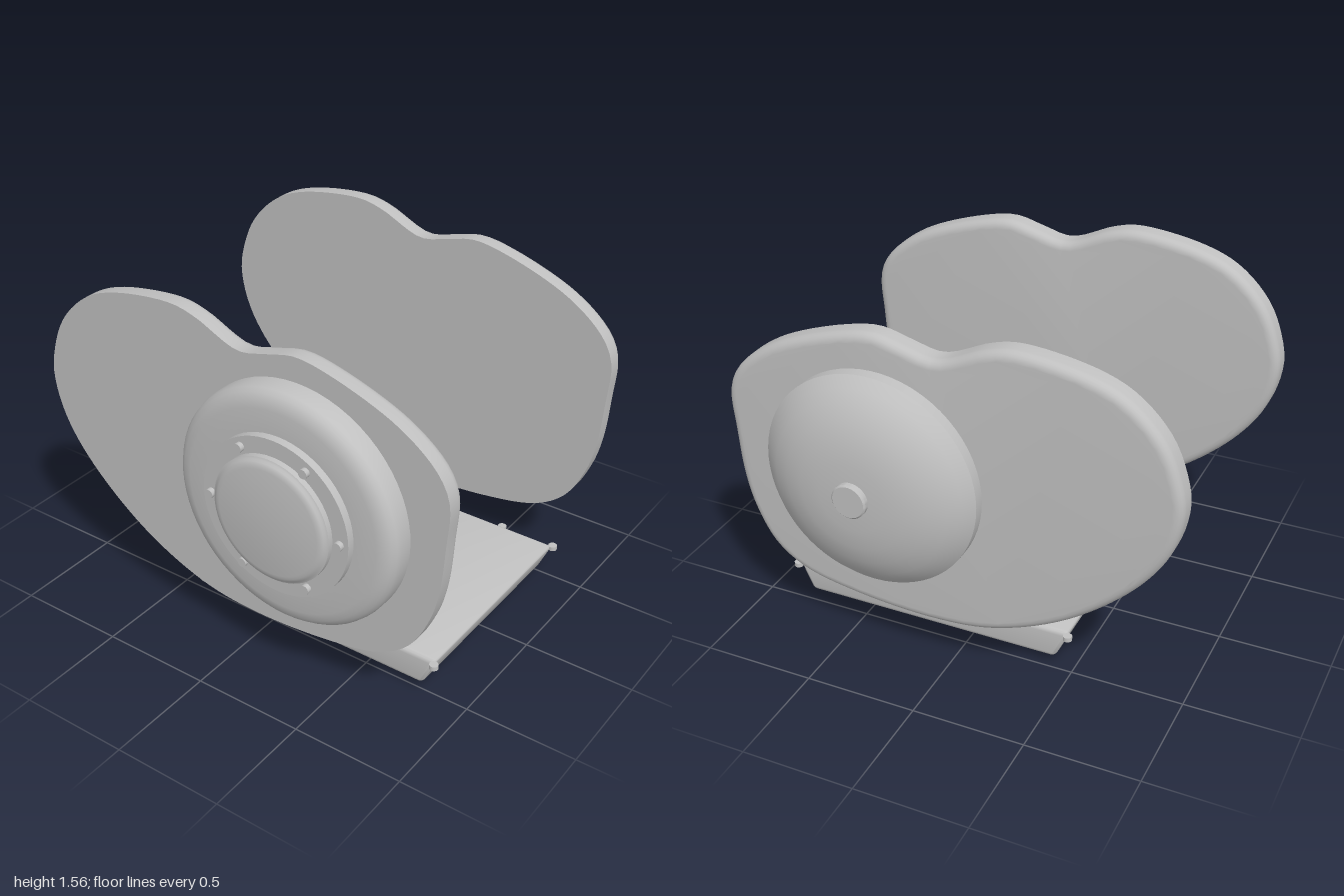
import * as THREE from 'three';
import { toCreasedNormals } from 'three/addons/utils/BufferGeometryUtils.js';
import { RoundedBoxGeometry } from 'three/addons/geometries/RoundedBoxGeometry.js';

const metal = new THREE.MeshStandardMaterial({ color: 0xc0c0c0 });
metal.name = 'light grey metal';

function add(parent, name, geometry, x = 0, y = 0, z = 0) {
  const mesh = new THREE.Mesh(geometry, metal);
  mesh.name = name;
  mesh.position.set(x, y, z);
  parent.add(mesh);
  return mesh;
}

// Turned part about the z axis; profile is [radius, height], dir is +1 (front) or -1 (back)
function turned(profile, dir, crease = 0.7) {
  const g = new THREE.LatheGeometry(profile.map(([r, h]) => new THREE.Vector2(r, h)), 64);
  g.rotateX(dir * Math.PI / 2);
  return toCreasedNormals(g, crease);
}

// Kidney-shaped plate outline, clockwise from the far left
const OUTLINE = [
  [-1, 1.02], [-0.98, 1.15], [-0.91, 1.31], [-0.77, 1.45], [-0.61, 1.52], [-0.3, 1.563], [-0.18, 1.54],
  [0.03, 1.457], [0.17, 1.485], [0.3, 1.515], [0.46, 1.49], [0.76, 1.38], [0.92, 1.265], [0.98, 1.18],
  [1, 1.1], [0.99, 0.94], [0.97, 0.72], [0.93, 0.565], [0.84, 0.4], [0.7, 0.3], [0.44, 0.24],
  [0.06, 0.216], [-0.21, 0.25], [-0.53, 0.39], [-0.82, 0.63], [-0.955, 0.83],
];

// Plate with a rounded rear edge and a flat, sharp-edged front
function plateGeometry(depth, radius) {
  const n = 130;
  const curve = new THREE.CatmullRomCurve3(
    OUTLINE.map(([x, y]) => new THREE.Vector3(x, y, 0)).reverse(), true);
  const base = [], normals = [];
  for (let i = 0; i < n; i++) {
    base.push(curve.getPointAt(i / n));
    const t = curve.getTangentAt(i / n);
    normals.push(new THREE.Vector2(t.y, -t.x));
  }
  const rings = [];
  for (let k = 0; k <= 5; k++) {
    const a = k / 5 * Math.PI / 2;
    rings.push([radius * (1 - Math.sin(a)), radius * (1 - Math.cos(a))]);
  }
  rings.push([0, depth]);

  const pos = [], index = [];
  for (const [inset, z] of rings)
    base.forEach((p, i) => pos.push(p.x - normals[i].x * inset, p.y - normals[i].y * inset, z));
  const last = rings.length - 1;
  for (let j = 0; j < last; j++)
    for (let i = 0; i < n; i++) {
      const a = j * n + i, b = j * n + (i + 1) % n;
      index.push(a, b, b + n, a, b + n, a + n);
    }
  // Flat faces
  const flat = base.map((p) => new THREE.Vector2(p.x, p.y));
  for (const [a, b, c] of THREE.ShapeUtils.triangulateShape(flat, []))
    index.push(last * n + a, last * n + b, last * n + c, c, b, a);

  const g = new THREE.BufferGeometry();
  g.setAttribute('position', new THREE.Float32BufferAttribute(pos, 3));
  g.setIndex(index);
  return toCreasedNormals(g, 0.6);
}

export function createModel() {
  const model = new THREE.Group();
  model.name = 'casingCovers';
  const cx = 0.308, cy = 0.88;

  // Two matching side plates
  const plate = plateGeometry(0.097, 0.04);
  add(model, 'frontPlate', plate, 0, 0, 0.612);
  add(model, 'backPlate', plate, 0, 0, -0.679);

  // Front round cover, stepped ring and cap
  const cover = new THREE.Group();
  cover.name = 'frontCover';
  cover.position.set(cx, cy, 0);
  model.add(cover);
  add(cover, 'coverDrum', turned([
    [0.527, 0.7], [0.527, 0.765], [0.521, 0.788], [0.507, 0.806], [0.485, 0.82], [0.45, 0.828], [0.33, 0.828],
  ], 1));
  add(cover, 'coverRing', turned([[0.35, 0.82], [0.35, 0.862], [0.26, 0.862]], 1));
  add(cover, 'coverCap', turned([
    [0.277, 0.855], [0.277, 0.886], [0.268, 0.89], [0.262, 0.898], [0.25, 0.904], [0.235, 0.907], [0, 0.907],
  ], 1, 0.8));
  const coverBolt = new THREE.CylinderGeometry(0.02, 0.02, 0.026, 16).rotateX(Math.PI / 2);
  for (let i = 0; i < 6; i++) {
    const a = i * Math.PI / 3;
    add(cover, 'coverBolt', coverBolt, 0.31 * Math.cos(a), 0.31 * Math.sin(a), 0.87);
  }

  // Rear dome with a centre knob
  const dome = new THREE.Group();
  dome.name = 'backDome';
  dome.position.set(cx, cy, 0);
  model.add(dome);
  add(dome, 'domeShell', turned([
    [0.48, 0.67], [0.48, 0.73], [0.44, 0.772], [0.39, 0.81], [0.32, 0.843], [0.24, 0.867], [0.15, 0.878], [0, 0.882],
  ], -1, 0.65));
  add(dome, 'domeKnob', turned([
    [0.077, 0.87], [0.077, 0.899], [0.07, 0.906], [0, 0.906],
  ], -1, 0.5));

  // Bottom pan, its two ends sloping in towards the floor
  const pan = new RoundedBoxGeometry(1.33, 0.147, 1.0, 3, 0.022);
  const p = pan.attributes.position;
  for (let i = 0; i < p.count; i++) {
    const t = 0.5 - p.getY(i) / 0.147;
    p.setX(i, p.getX(i) * (1 - 0.1 * t));
  }
  pan.computeVertexNormals();
  add(model, 'pan', toCreasedNormals(pan, 0.6), 0.188, 0.112, 0.016);

  // Pan bolts along both long edges
  const panBolt = new THREE.CylinderGeometry(0.02, 0.02, 0.02, 16);
  for (const z of [-0.489, 0.523])
    for (let i = 0; i < 6; i++) add(model, 'panBolt', panBolt, -0.474 + i * 0.2645, 0.169, z);

  // Hexagonal drain plug
  const plug = toCreasedNormals(new THREE.CylinderGeometry(0.045, 0.045, 0.05, 6), 0.3);
  plug.rotateY(Math.PI / 6);
  add(model, 'drainPlug', plug, 0.187, 0.025, 0.016);

  return model;
}
